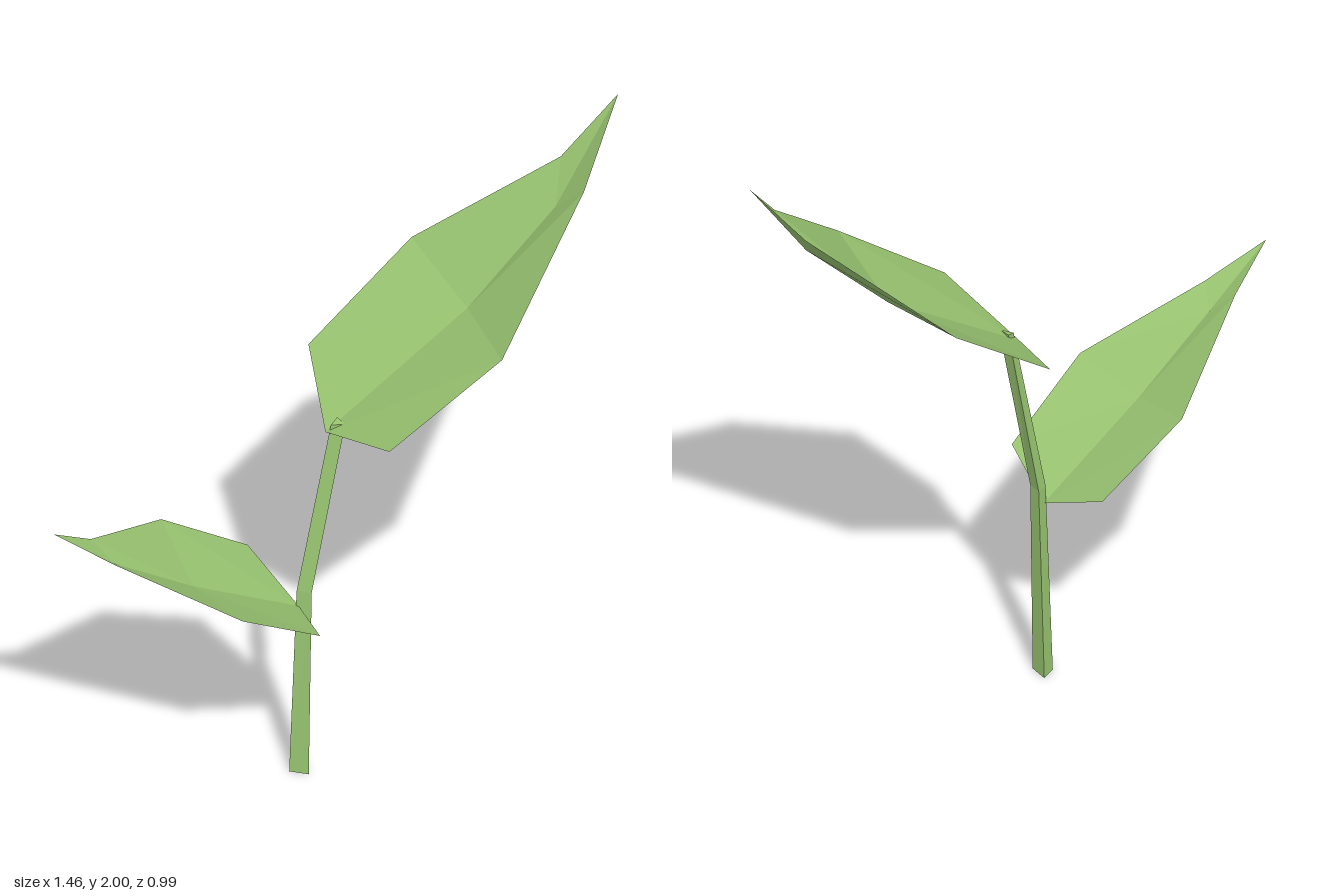
import * as THREE from 'three';

const green = new THREE.MeshStandardMaterial({ color: 0x9ac672, flatShading: true, side: THREE.DoubleSide });
green.name = 'leafGreen';

// Flat-shaded mesh from polygons (each a list of [x, y, z] corners, fanned into triangles)
function facetMesh(name, polygons) {
  const positions = [];
  for (const p of polygons) {
    for (let i = 1; i < p.length - 1; i++) positions.push(...p[0], ...p[i], ...p[i + 1]);
  }
  const geometry = new THREE.BufferGeometry();
  geometry.setAttribute('position', new THREE.Float32BufferAttribute(positions, 3));
  geometry.computeVertexNormals();
  const mesh = new THREE.Mesh(geometry, green);
  mesh.name = name;
  return mesh;
}

// Folded leaf: two edges of three points each, joined to a sunken midrib
function leaf(name, { base, tip, rib, edgeA, edgeB }) {
  const half = ([e1, e2, e3]) => [
    [base, e1, e2, rib[0]],
    [rib[0], e2, e3, rib[1]],
    [rib[1], e3, tip],
  ];
  const flip = (polygons) => polygons.map((p) => [...p].reverse());
  return facetMesh(name, [...flip(half(edgeA)), ...half(edgeB)]);
}

// Three-sided stem lofted through its rings
function stem(rings) {
  const polygons = [[...rings[0]].reverse(), rings[rings.length - 1]];
  for (let r = 0; r < rings.length - 1; r++) {
    for (let i = 0; i < 3; i++) {
      const j = (i + 1) % 3;
      polygons.push([rings[r][i], rings[r][j], rings[r + 1][j], rings[r + 1][i]]);
    }
  }
  return facetMesh('stem', polygons);
}

export function createModel() {
  const plant = new THREE.Group();
  plant.name = 'sprout';

  plant.add(stem([
    [[-0.125, 0, 0.04], [-0.07, 0, 0.048], [-0.1, 0, 0]],
    [[-0.105, 0.62, 0.035], [-0.063, 0.62, 0.04], [-0.085, 0.62, 0.005]],
    [[-0.015, 1.165, -0.01], [0.025, 1.175, -0.005], [0, 1.175, -0.035]],
  ]));

  plant.add(leaf('upperLeaf', {
    base: [-0.03, 1.14, -0.01],
    tip: [0.73, 2, -0.495],
    rib: [[0.34, 1.43, -0.23], [0.57, 1.7, -0.36]],
    edgeA: [[-0.105, 1.23, -0.285], [0.16, 1.475, -0.477], [0.575, 1.8, -0.458]],
    edgeB: [[0.167, 1.235, 0.187], [0.465, 1.475, 0.055], [0.655, 1.8, -0.305]],
  }));

  plant.add(leaf('lowerLeaf', {
    base: [-0.1, 0.565, 0.03],
    tip: [-0.73, 1.11, 0.49],
    rib: [[-0.37, 0.768, 0.237], [-0.57, 0.945, 0.39]],
    edgeA: [[-0.02, 0.622, 0.235], [-0.215, 0.795, 0.418], [-0.56, 0.995, 0.464]],
    edgeB: [[-0.255, 0.66, -0.108], [-0.48, 0.835, 0.03], [-0.64, 1.01, 0.37]],
  }));

  return plant;
}
